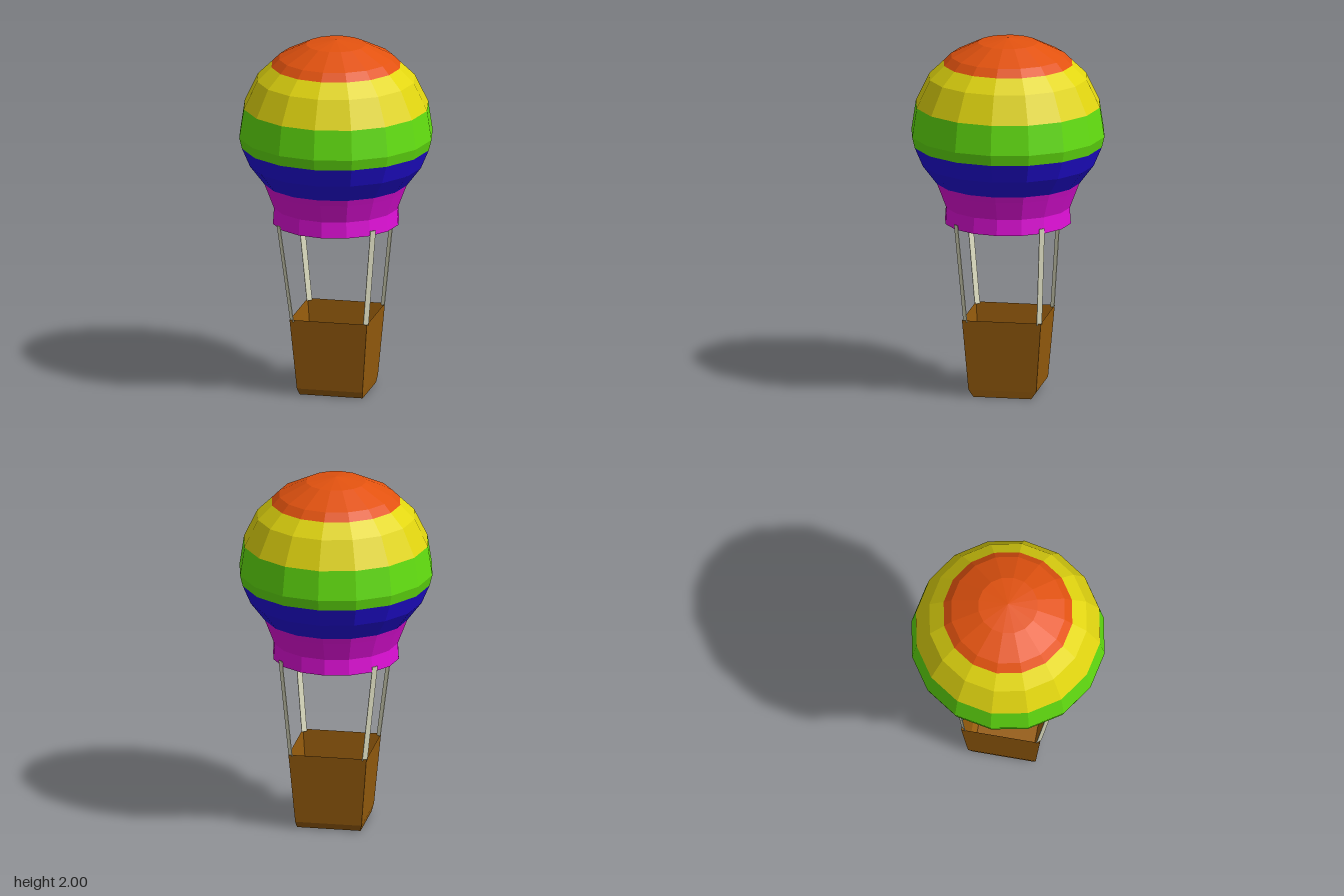
import * as THREE from 'three';

const material = (name, color, extra = {}) => {
  const m = new THREE.MeshStandardMaterial({ color, flatShading: true, side: THREE.DoubleSide, ...extra });
  m.name = name;
  return m;
};

// Open shell through rectangular rings [y, x0, x1, z0, z1], listed top to bottom, closed by a floor
function taperedBox(rings) {
  const pos = [];
  const corners = rings.map(([y, x0, x1, z0, z1]) =>
    [[x0, y, z1], [x1, y, z1], [x1, y, z0], [x0, y, z0]]);
  const quad = (a, b, c, d) => pos.push(...a, ...b, ...c, ...a, ...c, ...d);
  for (let r = 0; r < corners.length - 1; r++) {
    const top = corners[r], low = corners[r + 1];
    for (let i = 0; i < 4; i++) {
      const j = (i + 1) % 4;
      quad(low[i], low[j], top[j], top[i]);
    }
  }
  const f = corners[corners.length - 1];
  quad(f[3], f[2], f[1], f[0]);
  const g = new THREE.BufferGeometry();
  g.setAttribute('position', new THREE.Float32BufferAttribute(pos, 3));
  g.computeVertexNormals();
  return g;
}

export function createModel() {
  const model = new THREE.Group();
  model.name = 'hotAirBalloon';
  const add = (name, geometry, mat, parent = model) => {
    const mesh = new THREE.Mesh(geometry, mat);
    mesh.name = name;
    parent.add(mesh);
    return mesh;
  };

  // Envelope: coloured bands sharing one sixteen-sided profile of [radius, height]
  const envelope = new THREE.Group();
  envelope.name = 'envelope';
  model.add(envelope);
  const bands = [
    ['magentaSkirt', 0xe010d8, [[0.352, 0.96], [0.346, 1.05], [0.386, 1.155], [0.4, 1.19]]],
    ['blueBand', 0x220fdc, [[0.4, 1.19], [0.48, 1.295], [0.525, 1.4]]],
    ['greenBand', 0x62de10, [[0.525, 1.4], [0.54, 1.46], [0.515, 1.625]]],
    ['yellowBand', 0xe2d610, [[0.515, 1.625], [0.44, 1.78], [0.36, 1.857]]],
    ['orangeCrown', 0xe2520f, [[0.36, 1.857], [0.317, 1.9], [0.165, 1.975], [0, 2]]],
  ];
  for (const [name, color, profile] of bands) {
    const points = profile.map(([r, y]) => new THREE.Vector2(r, y));
    add(name, new THREE.LatheGeometry(points, 16), material(name, color), envelope);
  }

  // Basket: open at the top, tapering, with its lower edges bevelled
  add('basket', taperedBox([
    [0.44, -0.212, 0.225, -0.224, 0.217],
    [0.04, -0.178, 0.193, -0.192, 0.187],
    [0, -0.168, 0.188, -0.163, 0.16],
  ]), material('wickerBrown', 0x965c0d));

  // Ropes: flat straps from the basket corners to the skirt, facing outward along the diagonals
  const ropeMaterial = material('ropeCream', 0xdcdcc0);
  const ropes = [
    [[-0.2, 0.43, 0.208], [-0.262, 0.99, 0.268]],
    [[0.215, 0.43, 0.2], [0.266, 0.99, 0.243]],
    [[0.215, 0.43, -0.213], [0.266, 0.99, -0.238]],
    [[-0.2, 0.43, -0.213], [-0.262, 0.99, -0.238]],
  ];
  for (const [a, b] of ropes) {
    const low = new THREE.Vector3(...a), high = new THREE.Vector3(...b);
    const up = high.clone().sub(low);
    const length = up.length();
    up.normalize();
    const out = new THREE.Vector3(Math.sign(a[0]), 0, Math.sign(a[2]));
    const across = up.clone().cross(out).normalize();
    const facing = across.clone().cross(up);
    const rope = add('rope', new THREE.BoxGeometry(0.034, length, 0.004), ropeMaterial);
    rope.quaternion.setFromRotationMatrix(new THREE.Matrix4().makeBasis(across, up, facing));
    rope.position.copy(low).add(high).multiplyScalar(0.5);
  }
  return model;
}
